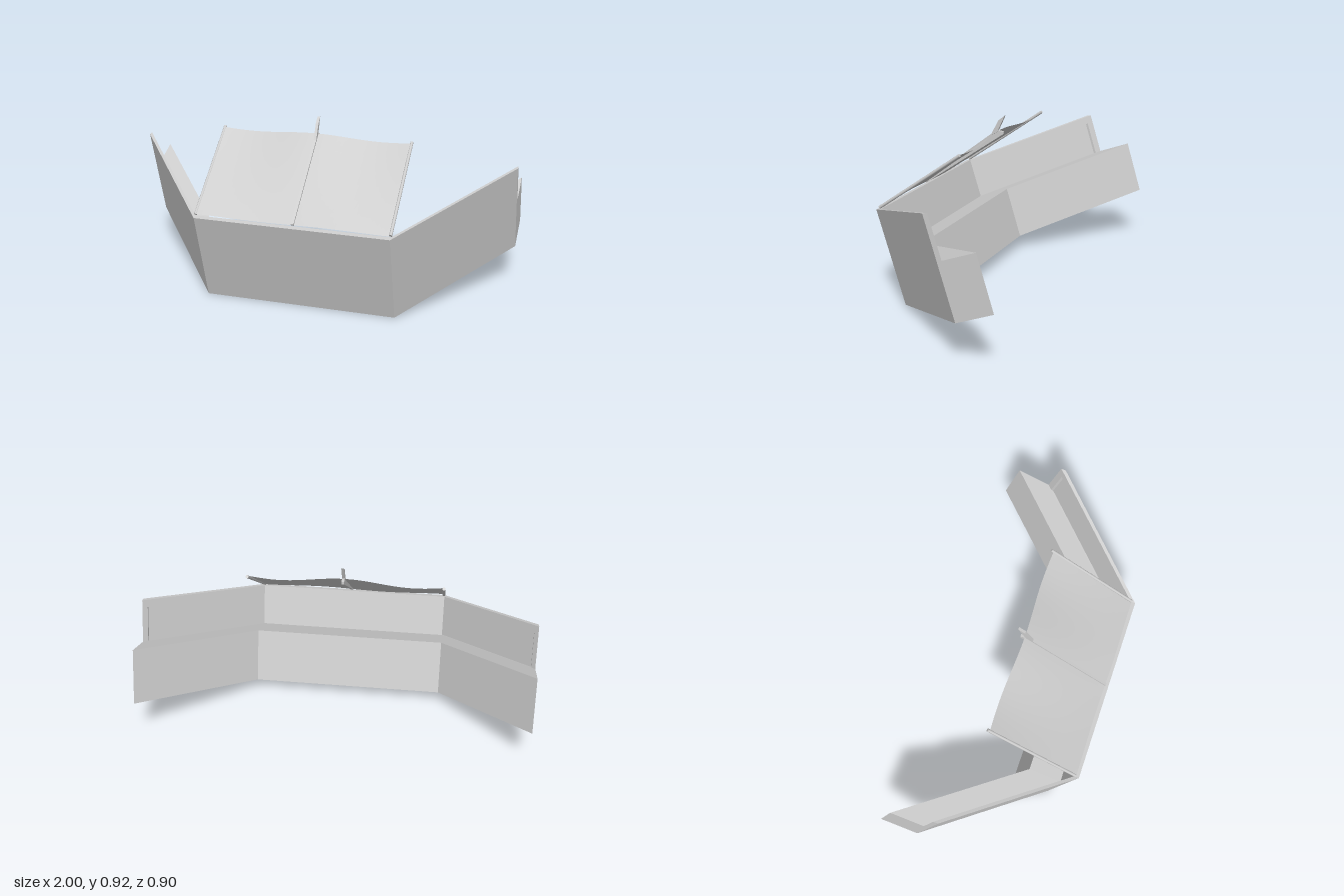
import * as THREE from 'three';

const mat = new THREE.MeshStandardMaterial({ color: 0xcccccc, flatShading: true });
const smooth = new THREE.MeshStandardMaterial({ color: 0xcccccc, side: THREE.DoubleSide });

// Cross-sections as [z, y]: tall thin front wall with a low deep ledge behind it
const plain = [[0, 0], [0.155, 0.49], [0.13, 0.495], [0.063, 0.285], [-0.105, 0.35], [-0.19, 0.077]];
// Same section with a shallow recess below a top lip
const recessed = [[0, 0], [0.155, 0.49], [0.13, 0.495], [0.118, 0.457], [0.129, 0.453],
  [0.074, 0.281], [0.063, 0.285], [-0.105, 0.35], [-0.19, 0.077]];

// Straight sweep of a section from one station [x, y, z] to another (x0 < x1)
function prism(name, profile, a, b) {
  const shape = new THREE.Shape(profile.map(([z, y]) => new THREE.Vector2(-z, y)));
  const geo = new THREE.ExtrudeGeometry(shape, { depth: 1, bevelEnabled: false });
  const p = geo.attributes.position;
  for (let i = 0; i < p.count; i++) {
    const t = p.getZ(i), u = p.getX(i), v = p.getY(i);
    p.setXYZ(i,
      a[0] + (b[0] - a[0]) * t,
      v + a[1] + (b[1] - a[1]) * t,
      -u + a[2] + (b[2] - a[2]) * t);
  }
  geo.computeVertexNormals();
  const mesh = new THREE.Mesh(geo, mat);
  mesh.name = name;
  return mesh;
}

// Wing swept up and back, closed by a full-thickness strip at its end
function wing(name, joint, end) {
  const g = new THREE.Group();
  g.name = name;
  const A = [joint, 0, 0.3], B = [end, 0.22, -0.26];
  const M = A.map((v, i) => v + (B[i] - v) * 0.96);
  const add = (n, s, p, q) => g.add(p[0] < q[0] ? prism(n, s, p, q) : prism(n, s, q, p));
  add(name + 'Body', recessed, A, M);
  add(name + 'EndStrip', plain, M, B);
  return g;
}

// Wavy sheet rising backwards from the front edge
function canopy() {
  const geo = new THREE.PlaneGeometry(1, 1, 32, 6);
  const p = geo.attributes.position;
  for (let i = 0; i < p.count; i++) {
    const x = p.getX(i), t = p.getY(i) + 0.5;
    const high = 0.013 * Math.cos((x * Math.PI * 2) / 0.68);
    const low = 0.004 * Math.sin(x * Math.PI * 3);
    const w = low * (1 - t) + high * t;
    p.setXYZ(i, x - 0.025, 0.503 + 0.323 * t + 0.817 * w, 0.437 - 0.442 * t + 0.577 * w);
  }
  geo.computeVertexNormals();
  const mesh = new THREE.Mesh(geo, smooth);
  mesh.name = 'canopySheet';
  return mesh;
}

// Slim round rod along the slope
function rod(name, x) {
  const a = new THREE.Vector3(x, 0.504, 0.435), b = new THREE.Vector3(x, 0.827, -0.018);
  const mesh = new THREE.Mesh(new THREE.CylinderGeometry(0.008, 0.008, a.distanceTo(b), 10), smooth);
  mesh.position.copy(a).lerp(b, 0.5);
  mesh.quaternion.setFromUnitVectors(new THREE.Vector3(0, 1, 0), b.clone().sub(a).normalize());
  mesh.name = name;
  return mesh;
}

export function createModel() {
  const model = new THREE.Group();
  model.name = 'counter';
  model.add(
    prism('centreBody', plain, [-0.525, 0, 0.3], [0.475, 0, 0.3]),
    wing('leftWing', 0.475, 1),
    wing('rightWing', -0.525, -1),
    canopy(),
    rod('leftRod', 0.474),
    rod('rightRod', -0.522),
    // Middle rib with an upturned tip
    prism('middleRib', [[0.435, 0.5], [0.442, 0.51], [0.045, 0.815], [0.005, 0.89], [-0.03, 0.918],
      [0.008, 0.835], [-0.02, 0.832], [-0.02, 0.818]], [-0.022, 0, 0], [-0.008, 0, 0])
  );
  return model;
}
